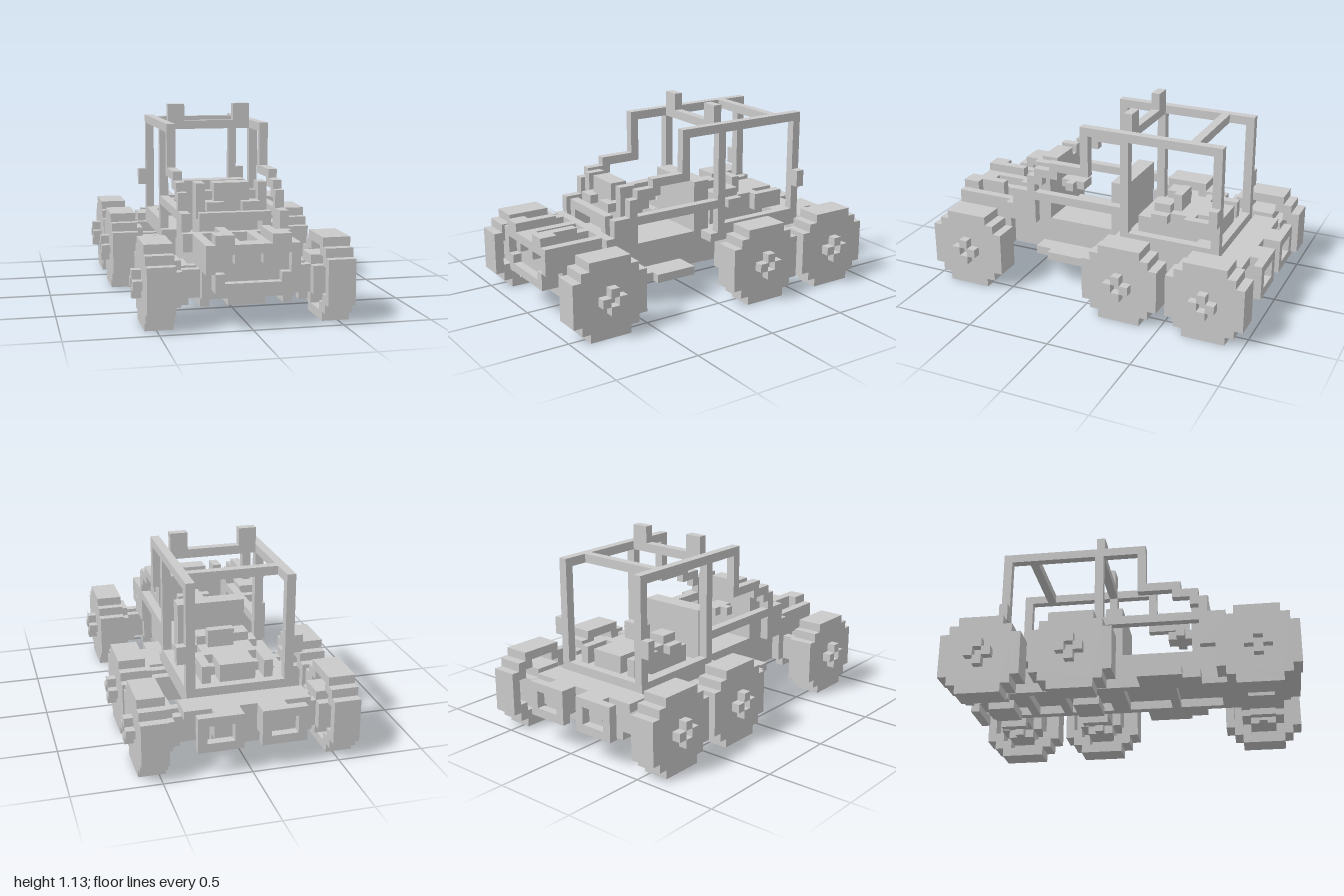
import * as THREE from 'three';

const U = 2 / 39; // one block; z is counted in blocks from the rear (0) to the nose (39)

export function createModel() {
  const grey = new THREE.MeshStandardMaterial({ color: 0xcacaca });
  grey.name = 'grey';
  const model = new THREE.Group();
  model.name = 'buggy';

  const add = (name, geo, parent = model) => {
    const mesh = new THREE.Mesh(geo, grey);
    mesh.name = name;
    parent.add(mesh);
    return mesh;
  };
  // Box given by its block limits
  const box = (name, x0, x1, y0, y1, z0, z1) => {
    const mesh = add(name, new THREE.BoxGeometry((x1 - x0) * U, (y1 - y0) * U, (z1 - z0) * U));
    mesh.position.set((x0 + x1) / 2 * U, (y0 + y1) / 2 * U, ((z0 + z1) / 2 - 19.5) * U);
  };
  const pair = (name, x0, x1, ...rest) => {
    box(name + 'Left', x0, x1, ...rest);
    box(name + 'Right', -x1, -x0, ...rest);
  };

  // Stepped circle: four turned quarter outlines
  const quarter = (r, s) => s === 2
    ? [[r, r - 2], [r - 1, r - 2], [r - 1, r - 1], [r - 2, r - 1], [r - 2, r]]
    : [[r, r - 1], [r - 1, r - 1], [r - 1, r]];
  const outline = (r, s) => {
    const pts = [];
    for (let q = 0; q < 4; q++) {
      const c = [1, 0, -1, 0][q], n = [0, 1, 0, -1][q];
      quarter(r, s).forEach(([a, b]) => pts.push(new THREE.Vector2((a * c - b * n) * U, (a * n + b * c) * U)));
    }
    return pts;
  };
  const disc = (r, s, x0, x1, hole) => {
    const shape = new THREE.Shape(outline(r, s));
    if (hole) shape.holes.push(new THREE.Path(outline(hole, 2)));
    return new THREE.ExtrudeGeometry(shape, { depth: (x1 - x0) * U, bevelEnabled: false })
      .translate(0, 0, x0 * U).rotateY(Math.PI / 2);
  };

  // Wheels, hollow on the inner side, with four hub blocks round an open centre
  const wheel = (name, x, z, side) => {
    const g = new THREE.Group();
    g.name = name;
    add('tyre', disc(4.5, 2, 0, 2, 3.5), g);
    add('wheelFace', disc(4.5, 2, 2, 3), g);
    add('brakeDrum', disc(2.5, 1, -1, 2), g);
    for (const [dy, dz] of [[1, 0], [-1, 0], [0, 1], [0, -1]])
      add('hubBlock', new THREE.BoxGeometry(U, U, U).translate(3.5 * U, dy * U, dz * U), g);
    g.position.set(side * x * U, 4.5 * U, (z - 19.5) * U);
    if (side < 0) g.rotation.y = Math.PI;
    model.add(g);
  };
  for (const [name, x, z] of [['front', 8, 34.5], ['middle', 9, 14.5], ['rear', 9, 4.5]]) {
    wheel(name + 'WheelLeft', x, z, 1);
    wheel(name + 'WheelRight', x, z, -1);
    // Suspension arms and differential
    for (const dz of [-1.5, 0.5]) {
      pair(name + 'LowerArm', 4, x - 1, 3, 4, z + dz, z + dz + 1);
      pair(name + 'UpperArm', 4, x - 1, 4, 6, z + dz, z + dz + 1);
    }
    pair(name + 'Knuckle', x - 2, x - 1, 2, 3, z - 0.5, z + 0.5);
    box(name + 'Differential', -2, 2, 2, 3, z - 1.5, z + 1.5);
    pair(name + 'Skid', 4, 5, 2, 3, z - 1.5, z + 1.5);
  }

  // Nose
  box('noseBase', -4, 4, 4, 7, 31, 38);
  box('nosePan', -4, 4, 3, 4, 31, 37);
  box('bumper', -4, 4, 4, 5, 38, 39);
  pair('bumperHorn', 3, 4, 5, 6, 38, 39);
  pair('fender', 4, 5, 6, 9, 32, 39);
  pair('noseSide', 4, 5, 3, 6, 32, 37);
  box('grille', -4, 4, 7, 8, 37, 38);
  pair('headlight', 2, 4, 8, 10, 37, 39);
  pair('hoodRail', 2, 3, 7, 10, 34, 37);
  pair('hoodInner', 1, 2, 7, 9, 32, 39);
  box('hoodSpine', -1, 1, 7, 8, 32, 35);
  box('hoodLatch', -1, 1, 8, 9, 37, 39);

  // Cockpit tub with a ribbed, recessed underside
  box('floor', -4, 4, 4, 7, 18, 31);
  pair('floorEdge', 3, 4, 3, 4, 18, 31);
  for (const z of [18, 24, 30]) box('floorRib', -3, 3, 3, 4, z, z + 1);
  pair('floorPlate', 4, 6, 3, 4, 21, 28);
  pair('sideStep', 6, 7, 3, 4, 21, 26);

  // Dashboard
  box('firewall', -4, 4, 7, 8, 29, 31);
  box('cowl', -5, 5, 8, 9, 31, 32);
  box('cowlBar', -4, 4, 10, 11, 30, 31);
  pair('cowlPost', 3, 4, 8, 10, 29, 31);
  box('dashBase', -4, 4, 7, 11, 27, 29);
  box('dash', -4, 4, 11, 12, 27, 29);
  box('dashTop', -4, 4, 12, 13, 27, 28);
  box('dashCentre', -2, 2, 12, 14, 27, 29);
  pair('dashGauge', 3, 4, 12, 14, 27, 29);
  pair('dashLamp', 1, 3, 11, 12, 29, 30);
  box('steeringColumn', -1, 1, 10, 11, 24, 27);
  box('steeringBar', -2, 2, 10, 11, 25, 26);
  box('seatBase', -4, 4, 7, 10, 17, 19);
  box('seatBack', -4, 4, 10, 13, 17, 19);

  // Roll cage
  pair('sideRail', 5, 6, 10, 11, 17, 31);
  pair('railFoot', 5, 6, 7, 10, 28, 31);
  pair('railToe', 5, 6, 7, 9, 31, 32);
  pair('windowStepA', 5, 6, 11, 12, 28, 29);
  pair('windowStepB', 5, 6, 12, 13, 27, 29);
  pair('windowStepC', 5, 6, 13, 14, 25, 28);
  pair('windowStepD', 5, 6, 14, 15, 21, 26);
  pair('frontPost', 5, 6, 15, 20, 21, 22);
  pair('middlePost', 5, 6, 7, 20, 16, 17);
  pair('rearPost', 5, 6, 7, 20, 5, 6);
  pair('roofRail', 5, 6, 19, 20, 6, 21);
  box('middleRoofBar', -5, 5, 19, 20, 16, 17);
  box('rearRoofBar', -5, 5, 19, 20, 8, 9);
  pair('roofLamp', 3, 5, 20, 22, 16, 17);
  pair('sideLamp', 6, 7, 11, 13, 5, 6);

  // Rear deck, also recessed and ribbed underneath
  box('rearTub', -4, 4, 4, 7, 2, 18);
  pair('tubEdge', 3, 4, 3, 4, 2, 18);
  for (const z of [2, 7, 11, 17]) box('tubRib', -3, 3, 3, 4, z, z + 1);
  box('rearDeck', -6, 6, 6, 7, 5, 18);
  box('rearCrossBar', -7, 7, 6, 7, 2, 5);
  box('deckBar', -5, 5, 7, 8, 5, 8);
  pair('deckRail', 5, 6, 7, 8, 6, 16);
  pair('tailBracket', 1, 4, 4, 7, 1, 2);

  // Engine
  box('engineBlock', -3, 3, 7, 9, 8, 16);
  box('engineHead', -3, 3, 9, 10, 9, 14);
  pair('cylinder', 1, 3, 10, 11, 12, 14);
  box('airIntake', -1, 2, 10, 12, 11, 12);
  box('gearbox', -2, 2, 8, 10, 6, 9);
  pair('exhaust', 3, 4, 8, 10, 6, 10);
  pair('manifold', 3, 4, 9, 10, 12, 14);

  // Tail lamp frames
  for (const [name, side] of [['tailLampLeft', 1], ['tailLampRight', -1]]) {
    const rect = (w, h) => [[-w, -h], [w, -h], [w, h], [-w, h]].map(([a, b]) => new THREE.Vector2(a * U, b * U));
    const shape = new THREE.Shape(rect(2.5, 2));
    shape.holes.push(new THREE.Path(rect(1.5, 1)));
    const frame = add(name, new THREE.ExtrudeGeometry(shape, { depth: U, bevelEnabled: false }));
    frame.position.set(side * 3.5 * U, 5 * U, -19.5 * U);
  }
  return model;
}
